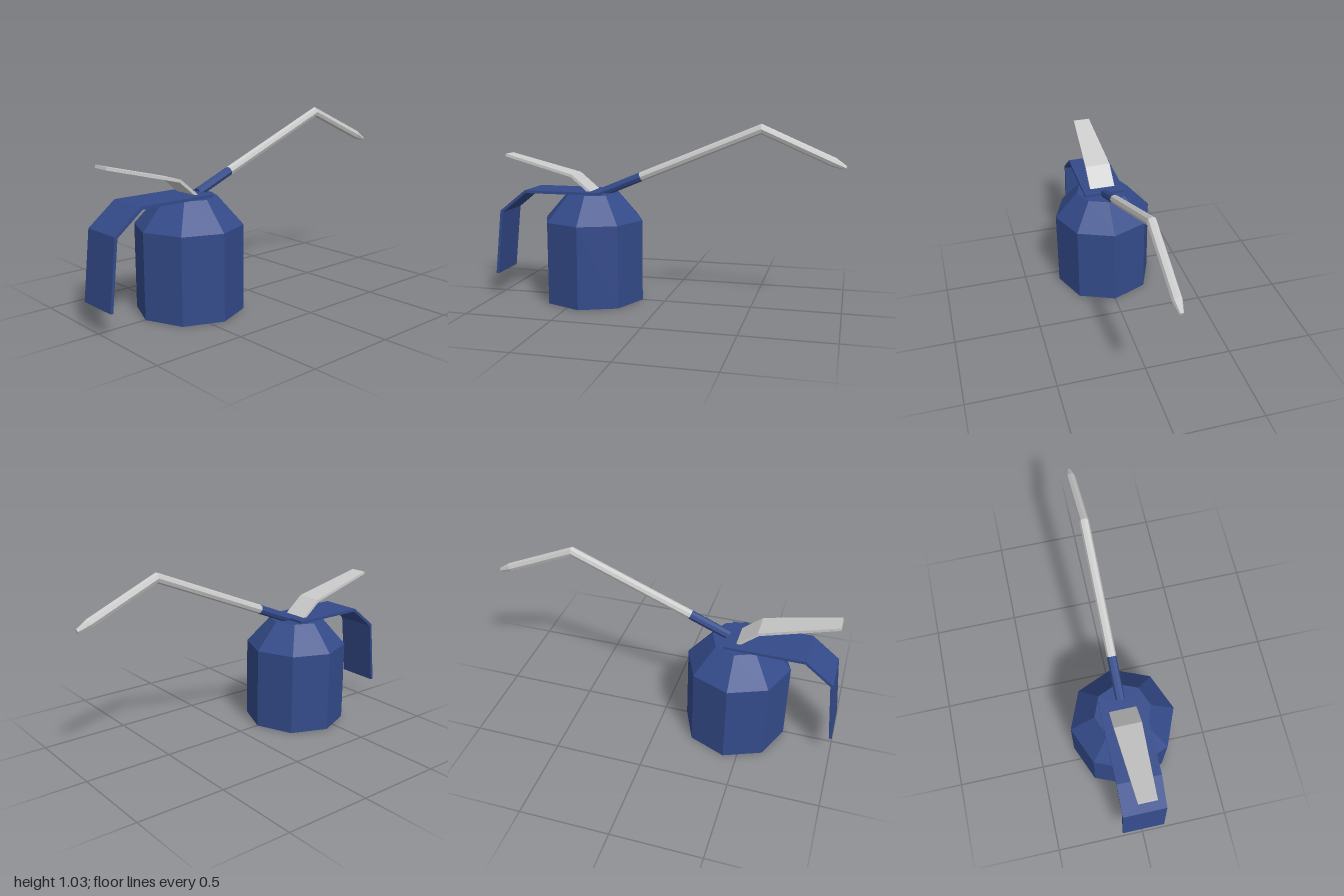
import * as THREE from 'three';

const blue = new THREE.MeshStandardMaterial({ color: 0x344b8a, flatShading: true });
const grey = new THREE.MeshStandardMaterial({ color: 0xcccccc, flatShading: true });

// Cross-sections as [x, normal] pairs, counter-clockwise
const flat = [[-1, -1], [1, -1], [1, 1], [-1, 1]];
const octagon = Array.from({ length: 8 }, (_, i) => [Math.cos(i * Math.PI / 4), Math.sin(i * Math.PI / 4)]);

// Sweeps a section along a path in the x = 0 plane with mitred bends.
// Path entries: [z, y, half width, half thickness]
function sweep(section, path) {
  const points = path.map(([z, y]) => new THREE.Vector2(z, y));
  const dirs = points.slice(1).map((p, i) => p.clone().sub(points[i]).normalize());
  const rings = path.map(([z, y, w, h], i) => {
    const a = dirs[Math.max(i - 1, 0)], b = dirs[Math.min(i, dirs.length - 1)];
    const t = a.clone().add(b).normalize();
    const k = h / t.dot(a);
    return section.map(([sx, sn]) => [sx * w, y + sn * k * t.x, z - sn * k * t.y]);
  });
  const out = [];
  const n = section.length, last = rings[rings.length - 1];
  for (let r = 0; r < rings.length - 1; r++) {
    for (let i = 0; i < n; i++) {
      const j = (i + 1) % n, a = rings[r], b = rings[r + 1];
      out.push(...a[i], ...a[j], ...b[j], ...a[i], ...b[j], ...b[i]);
    }
  }
  for (let i = 1; i < n - 1; i++) {
    out.push(...rings[0][0], ...rings[0][i + 1], ...rings[0][i]);
    out.push(...last[0], ...last[i], ...last[i + 1]);
  }
  const geometry = new THREE.BufferGeometry();
  geometry.setAttribute('position', new THREE.Float32BufferAttribute(out, 3));
  geometry.computeVertexNormals();
  return geometry;
}

export function createModel() {
  const group = new THREE.Group();
  const add = (name, geometry, material) => {
    const mesh = new THREE.Mesh(geometry, material);
    mesh.name = name;
    group.add(mesh);
    return mesh;
  };

  // Eight-sided can with sloping shoulders
  const profile = [[0, 0], [0.293, 0], [0.293, 0.47], [0.157, 0.623], [0, 0.623]];
  const can = new THREE.LatheGeometry(profile.map(([x, y]) => new THREE.Vector2(x, y)), 8);
  add('can', can, blue).position.z = 0.425;

  // Bent strap handle
  add('handle', sweep(flat, [
    [0.355, 0.63, 0.121, 0.008], [0.8, 0.63, 0.121, 0.008],
    [0.952, 0.508, 0.121, 0.008], [0.992, 0.135, 0.121, 0.008],
  ]), blue);

  // Tapering thumb lever
  add('lever', sweep(flat, [
    [0.42, 0.63, 0.075, 0.008], [0.532, 0.724, 0.075, 0.008], [0.948, 0.832, 0.05, 0.008],
  ]), grey);

  // Spout: socket, then bent tube with a tapered tip
  const r = 0.026;
  add('spoutSocket', sweep(octagon, [[0.36, 0.63, r, r], [0.14, 0.722, r, r]]), blue);
  add('spout', sweep(octagon, [
    [0.14, 0.722, r, r], [-0.54, 1.003, r, r], [-0.93, 0.832, r, r], [-0.995, 0.803, 0.011, 0.011],
  ]), grey);

  return group;
}
